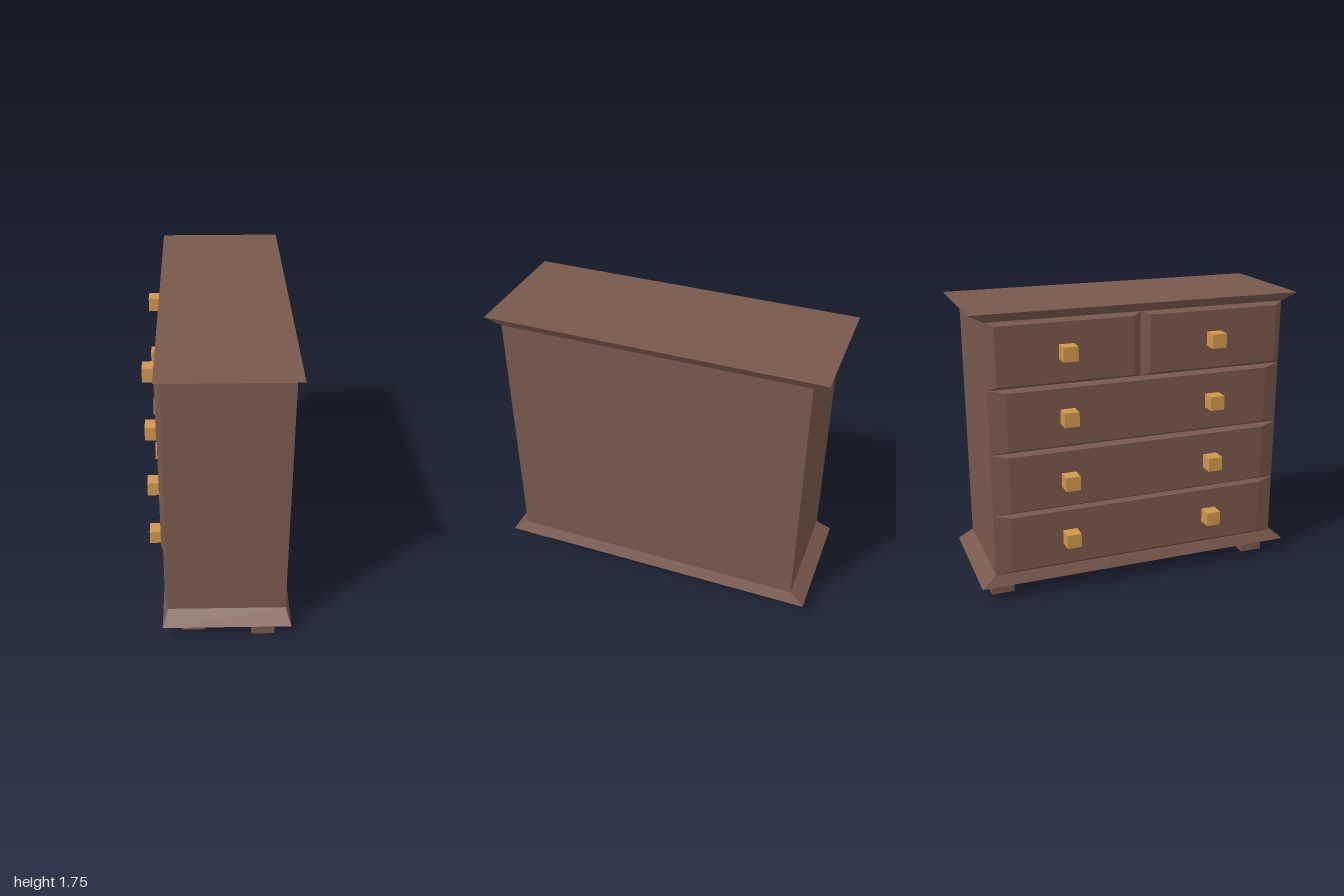
import * as THREE from 'three';

const wood = new THREE.MeshStandardMaterial({ color: 0x79584b, flatShading: true });
const brass = new THREE.MeshStandardMaterial({ color: 0xd1974c, flatShading: true });

// Box given by its limits on each axis
function box(name, material, [x0, x1], [y0, y1], [z0, z1]) {
  const mesh = new THREE.Mesh(new THREE.BoxGeometry(x1 - x0, y1 - y0, z1 - z0), material);
  mesh.position.set((x0 + x1) / 2, (y0 + y1) / 2, (z0 + z1) / 2);
  mesh.name = name;
  return mesh;
}

// Box whose vertices on one side are pulled in to form sloping edges
function taper(mesh, axis, side, insets) {
  const p = mesh.geometry.attributes.position;
  const v = new THREE.Vector3();
  for (let i = 0; i < p.count; i++) {
    v.fromBufferAttribute(p, i);
    if (Math.sign(v[axis]) === side) {
      for (const k in insets) v[k] -= Math.sign(v[k]) * insets[k];
      p.setXYZ(i, v.x, v.y, v.z);
    }
  }
  mesh.geometry.computeVertexNormals();
  return mesh;
}

export function createModel() {
  const chest = new THREE.Group();
  chest.name = 'chestOfDrawers';

  // Carcass with flared top and plinth
  chest.add(box('carcass', wood, [-0.305, 0.385], [0.175, 1.695], [-0.91, 0.91]));
  chest.add(taper(box('top', wood, [-0.335, 0.415], [1.695, 1.745], [-1, 1]), 'y', -1, { x: 0.03, z: 0.09 }));
  chest.add(taper(box('plinth', wood, [-0.335, 0.415], [0.11, 0.175], [-1, 1]), 'y', 1, { x: 0.03, z: 0.09 }));

  // Bevelled drawer fronts: bottom, top, outer x, z limits, z inset
  const drawers = [
    [0.175, 0.555, -0.325, -0.91, 0.91, 0.1],
    [0.555, 0.932, -0.335, -0.91, 0.91, 0.1],
    [0.932, 1.313, -0.335, -0.91, 0.91, 0.1],
    [1.313, 1.695, -0.335, -0.91, 0, 0.05],
    [1.313, 1.695, -0.335, 0, 0.91, 0.05],
  ];
  for (const [y0, y1, x, z0, z1, inset] of drawers) {
    chest.add(taper(box('drawer', wood, [x, -0.305], [y0, y1], [z0, z1]), 'x', -1, { y: 0.019, z: inset }));
  }

  // Two square knobs per row
  for (const y of [0.33, 0.695, 1.085, 1.465]) {
    for (const z of [-0.455, 0.452]) {
      chest.add(box('knob', brass, [-0.42, -0.335], [y, y + 0.085], [z - 0.044, z + 0.044]));
    }
  }

  // Block feet, slightly unevenly placed
  for (const [x, z] of [[0.253, 0.875], [-0.157, 0.835], [0.24, -0.855], [-0.147, -0.853]]) {
    chest.add(box('foot', wood, [x - 0.068, x + 0.068], [0, 0.11], [z - 0.07, z + 0.07]));
  }
  return chest;
}
